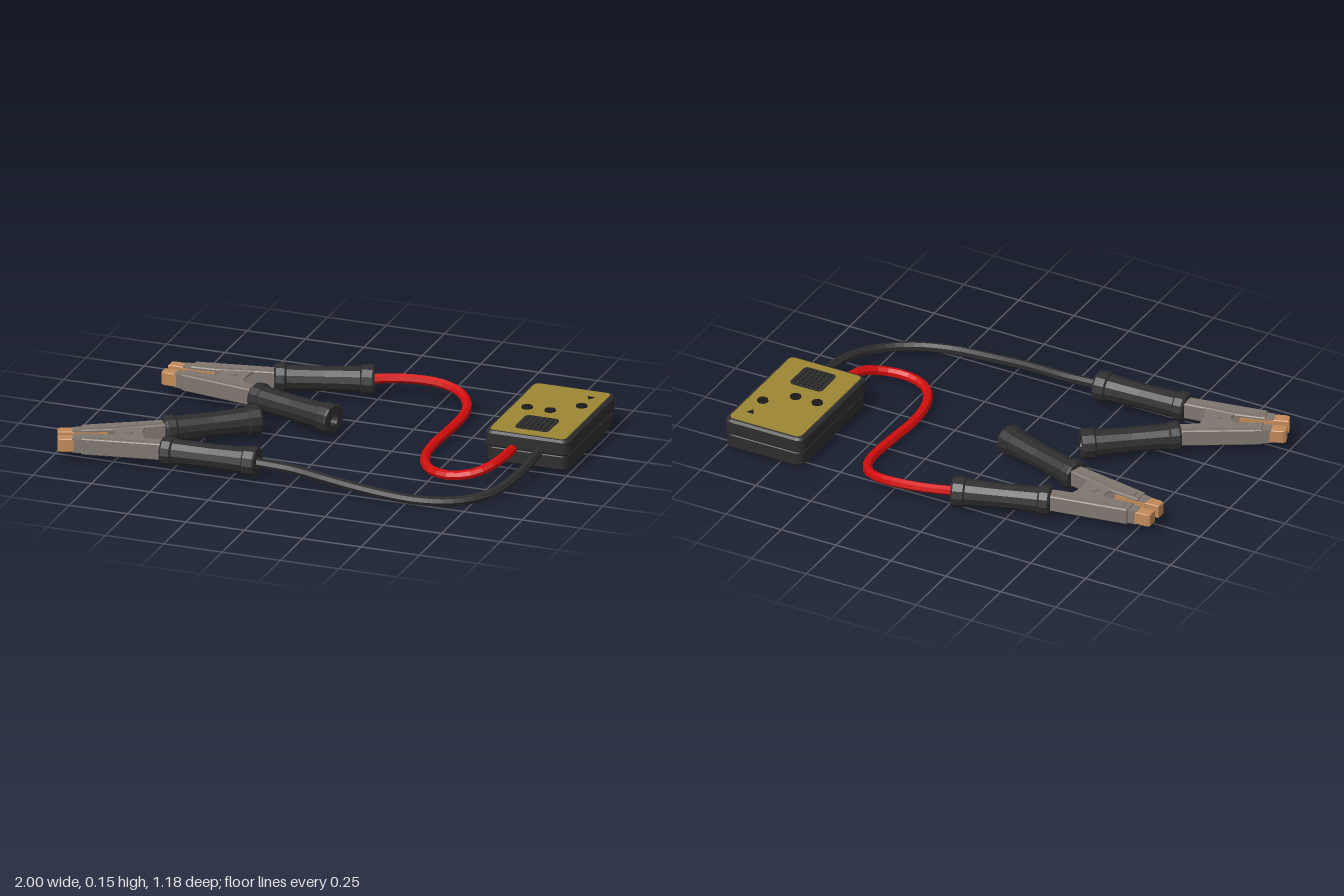
import * as THREE from 'three';

const mat = (name, color, flatShading = true) => {
  const m = new THREE.MeshStandardMaterial({ color, flatShading });
  m.name = name;
  return m;
};

export function createModel() {
  const black = mat('black plastic', 0x2d2d2d);
  const dark = mat('dark detail', 0x1b1b1b);
  const gold = mat('gold panel', 0x9c8634);
  const steel = mat('grey steel', 0x80766f);
  const copper = mat('copper', 0xc28a58);
  const red = mat('red cable', 0xd40d0d);

  const model = new THREE.Group();
  model.name = 'clampTester';

  const add = (parent, name, geometry, material, x = 0, y = 0, z = 0) => {
    const mesh = new THREE.Mesh(geometry, material);
    mesh.name = name;
    mesh.position.set(x, y, z);
    parent.add(mesh);
    return mesh;
  };

  // Upright slab from a plan outline of [x, -z] points, from y0 to y1
  const slab = (shape, y0, y1, bevel = 0) => {
    const g = new THREE.ExtrudeGeometry(shape, {
      depth: y1 - y0 - 2 * bevel, bevelEnabled: bevel > 0, bevelSize: bevel,
      bevelThickness: bevel, bevelOffset: -bevel, bevelSegments: 1, curveSegments: 4,
    });
    return g.rotateX(-Math.PI / 2).translate(0, y0 + bevel, 0);
  };
  const polygon = (pts) => new THREE.Shape(pts.map(([x, y]) => new THREE.Vector2(x, y)));

  const roundRect = (w, h, r) => {
    const s = new THREE.Shape();
    s.absarc(w / 2 - r, h / 2 - r, r, 0, Math.PI / 2);
    s.absarc(-w / 2 + r, h / 2 - r, r, Math.PI / 2, Math.PI);
    s.absarc(-w / 2 + r, -h / 2 + r, r, Math.PI, Math.PI * 1.5);
    s.absarc(w / 2 - r, -h / 2 + r, r, Math.PI * 1.5, Math.PI * 2);
    s.closePath();
    return s;
  };

  // Control box: two shells meeting at a seam, with a panel on top
  const box = new THREE.Group();
  box.name = 'controlBox';
  box.position.set(0.82, 0, -0.288);
  model.add(box);
  add(box, 'lowerShell', slab(roundRect(0.35, 0.55, 0.035), 0.012, 0.082, 0.009), black);
  add(box, 'upperShell', slab(roundRect(0.36, 0.56, 0.035), 0.076, 0.145, 0.009), black);
  add(box, 'panel', slab(roundRect(0.325, 0.525, 0.022), 0.143, 0.148), gold);

  const button = new THREE.CylinderGeometry(0.023, 0.023, 0.009, 10);
  for (const [x, z] of [[-0.1, -0.002], [-0.002, -0.002], [0.1, -0.09]])
    add(box, 'button', button, dark, x, 0.15, z);
  add(box, 'indicator', slab(polygon([[0.085, 0.196], [0.1, 0.17], [0.115, 0.196]]), 0.147, 0.151), dark);

  // Speaker grille with a grid of holes
  add(box, 'speakerPlate', slab(roundRect(0.145, 0.14, 0.018), 0.147, 0.152), black, 0, 0, 0.148);
  const hole = new THREE.CylinderGeometry(0.006, 0.006, 0.003, 6);
  for (let i = 0; i < 6; i++)
    for (let j = 0; j < 6; j++)
      add(box, 'speakerHole', hole, dark, (i - 2.5) * 0.021, 0.152, 0.148 + (j - 2.5) * 0.021);

  // Grip: tapered sleeve with a collar at each end and a recessed cable hole
  const gripProfile = [
    [0, 0], [0.054, 0], [0.061, 0.008], [0.061, 0.042], [0.053, 0.05], [0.051, 0.2],
    [0.055, 0.345], [0.063, 0.352], [0.063, 0.394], [0.058, 0.402], [0.027, 0.402],
    [0.024, 0.375], [0, 0.375],
  ].map(([r, y]) => new THREE.Vector2(r, y));
  const gripGeometry = new THREE.LatheGeometry(gripProfile, 12).rotateZ(-Math.PI / 2);

  // Coil around the hinge pin
  const coil = [];
  for (let i = 0; i <= 32; i++) {
    const a = (i / 8) * Math.PI * 2;
    coil.push(new THREE.Vector3(Math.cos(a) * 0.026, -0.024 + (i / 32) * 0.048, Math.sin(a) * 0.026));
  }
  const coilGeometry = new THREE.TubeGeometry(new THREE.CatmullRomCurve3(coil), 48, 0.005, 5);

  // Hinge cheek: waisted plate bridging the two arms
  const cheek = new THREE.Shape();
  cheek.moveTo(0.215, -0.035);
  cheek.lineTo(0.355, -0.07);
  cheek.quadraticCurveTo(0.325, 0, 0.355, 0.07);
  cheek.lineTo(0.215, 0.035);
  cheek.quadraticCurveTo(0.25, 0, 0.215, -0.035);

  // Clamp: jaw tips at the local origin, grips opening toward +x
  const clamp = (name, x, z, turn) => {
    const g = new THREE.Group();
    g.name = name;
    g.position.set(x, 0, z);
    g.rotation.y = turn;
    model.add(g);
    for (const s of [1, -1]) {
      const outline = (pts) => polygon(pts.map(([a, b]) => [a, b * s]));
      add(g, 'jawTip', slab(outline([[0, 0.016], [0.066, 0.016], [0.066, 0.066], [0.012, 0.064], [0, 0.056]]), 0.048, 0.104, 0.003), copper);
      add(g, 'jawNose', slab(outline([[0.06, 0.018], [0.11, 0.018], [0.11, 0.074], [0.06, 0.065]]), 0.047, 0.105), steel);
      add(g, 'jawArm', slab(outline([[0.095, 0.015], [0.225, 0.027], [0.32, 0.052], [0.45, 0.08], [0.45, 0.14], [0.095, 0.078]]), 0.042, 0.111, 0.004), steel);
      add(g, 'jawRib', slab(outline([[0.12, 0.03], [0.23, 0.045], [0.42, 0.088], [0.42, 0.118], [0.12, 0.066]]), 0.039, 0.114), steel);
      add(g, 'contactStrip', slab(outline([[0.06, 0.011], [0.2, 0.02], [0.2, 0.028], [0.06, 0.019]]), 0.052, 0.1), copper);
      const grip = add(g, 'grip', gripGeometry, black, 0.422, 0.076, -0.108 * s);
      grip.rotation.y = s * 0.307;
    }
    add(g, 'topCheek', slab(cheek, 0.102, 0.109), steel);
    add(g, 'bottomCheek', slab(cheek, 0.044, 0.051), steel);
    add(g, 'hingePin', new THREE.CylinderGeometry(0.017, 0.017, 0.074, 10), steel, 0.285, 0.0765, 0);
    add(g, 'spring', coilGeometry, steel, 0.285, 0.0765, 0);
  };
  clamp('redClamp', -0.825, -0.29, 0);
  clamp('blackClamp', -0.978, 0.533, 0.35);

  // Cables from the grips to the control box
  const cable = (name, pts, radius, material) => {
    const curve = new THREE.CatmullRomCurve3(pts.map((p) => new THREE.Vector3(...p)));
    add(model, name, new THREE.TubeGeometry(curve, 36, radius, 7), material);
  };
  cable('redCable', [
    [-0.05, 0.078, -0.512], [0.085, 0.082, -0.56], [0.235, 0.078, -0.575], [0.325, 0.066, -0.55],
    [0.39, 0.05, -0.48], [0.415, 0.04, -0.385], [0.415, 0.034, -0.235], [0.406, 0.03, -0.05],
    [0.425, 0.03, 0.085], [0.485, 0.03, 0.19], [0.585, 0.032, 0.23], [0.685, 0.046, 0.2],
    [0.745, 0.07, 0.12], [0.765, 0.082, -0.03],
  ], 0.02, red);
  cable('blackCable', [
    [-0.18, 0.076, 0.477], [0.005, 0.068, 0.476], [0.165, 0.055, 0.496], [0.35, 0.037, 0.509],
    [0.555, 0.023, 0.503], [0.7, 0.021, 0.452], [0.805, 0.03, 0.353], [0.858, 0.055, 0.2],
    [0.872, 0.08, -0.03],
  ], 0.02, black);

  return model;
}
